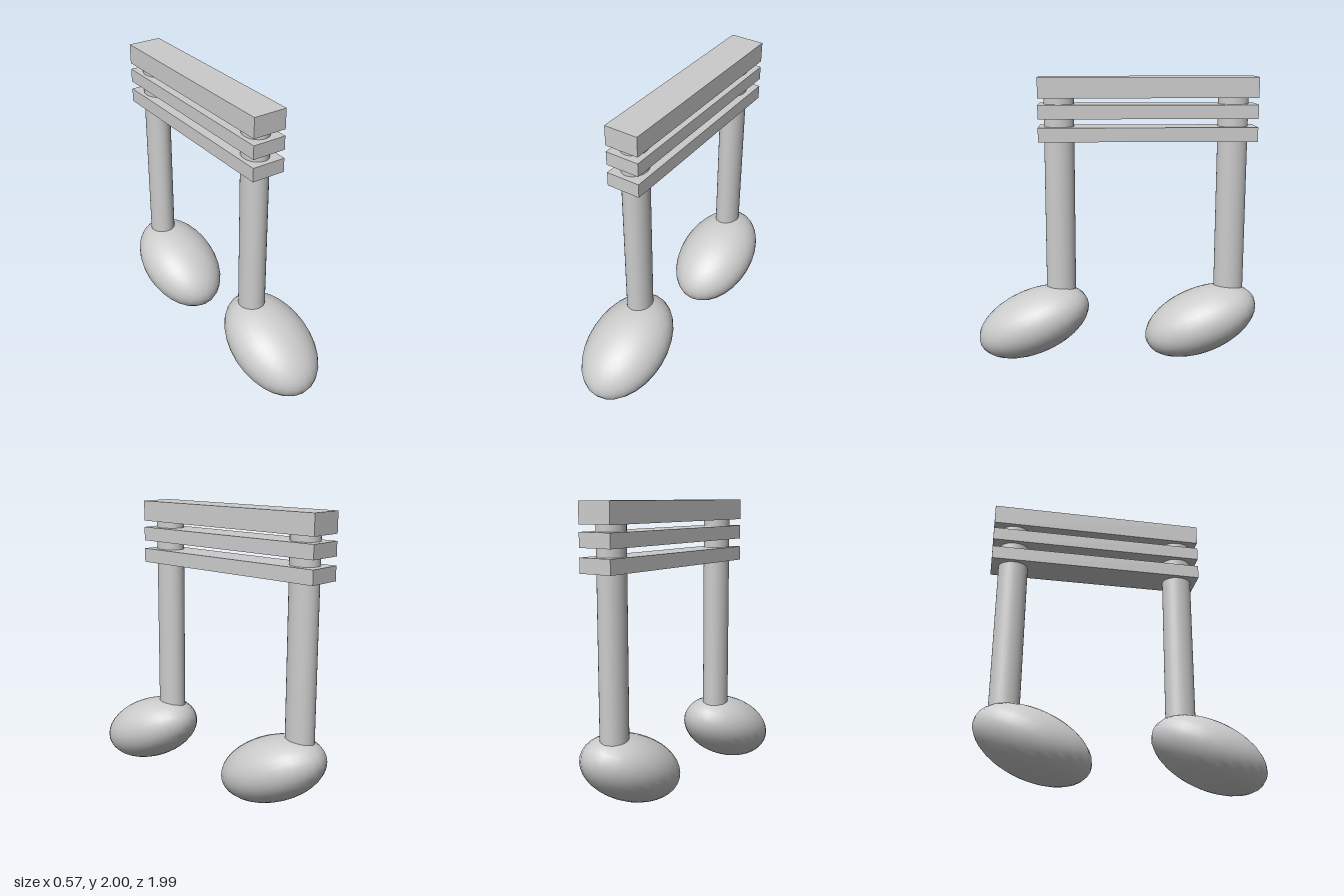
import * as THREE from 'three';

export function createModel() {
  const model = new THREE.Group();
  const material = new THREE.MeshStandardMaterial({ color: 0xcccccc });

  function add(parent, name, geometry, x, y, z) {
    const mesh = new THREE.Mesh(geometry, material);
    mesh.name = name;
    mesh.position.set(x, y, z);
    parent.add(mesh);
    return mesh;
  }

  // Two identical notes: a tilted egg-shaped head carrying an oval stem
  const headGeometry = new THREE.SphereGeometry(1, 28, 18);
  const stemGeometry = new THREE.CylinderGeometry(1, 1, 1.6, 32);
  [['frontNote', 0], ['backNote', -1.2]].forEach(([name, z]) => {
    const note = new THREE.Group();
    note.name = name;
    note.position.z = z;
    const head = add(note, 'noteHead', headGeometry, 0, 0.262, 0.605);
    head.scale.set(0.287, 0.225, 0.42);
    head.rotation.x = 0.4;
    const stem = add(note, 'stem', stemGeometry, -0.027, 1.15, 0.405);
    stem.scale.set(0.087, 1, 0.104);
    model.add(note);
  });

  // Three stacked beams joining the stems: [name, bottom, top]
  [['topBeam', 1.86, 2], ['middleBeam', 1.72, 1.815], ['lowerBeam', 1.565, 1.662]].forEach(([name, y0, y1]) => {
    add(model, name, new THREE.BoxGeometry(0.24, y1 - y0, 1.495), -0.023, (y0 + y1) / 2, -0.203);
  });

  return model;
}
